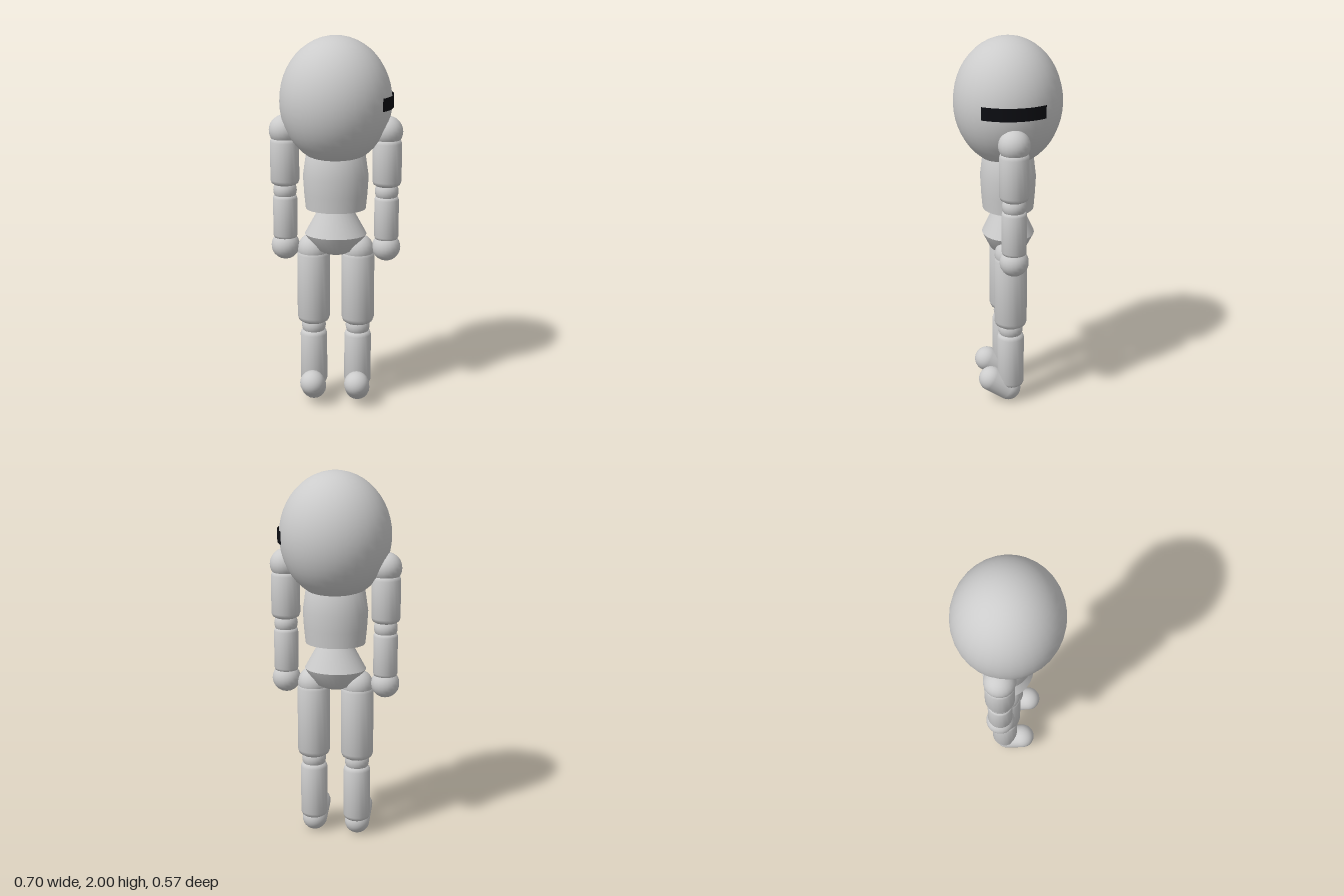
import * as THREE from 'three';
import { toCreasedNormals } from 'three/addons/utils/BufferGeometryUtils.js';

const grey = new THREE.MeshStandardMaterial({ color: 0xcccccc });
const black = new THREE.MeshStandardMaterial({ color: 0x0c0d12, side: THREE.DoubleSide });

function add(parent, name, geometry, x = 0, y = 0, z = 0, material = grey) {
  const mesh = new THREE.Mesh(geometry, material);
  mesh.name = name;
  mesh.position.set(x, y, z);
  parent.add(mesh);
  return mesh;
}

const ball = (r) => new THREE.SphereGeometry(r, 20, 14);

// Turned body from [radius, y] pairs, bottom to top, flattened in z
function turned(profile, depth = 1, segments = 32) {
  const points = profile.map(([r, y]) => new THREE.Vector2(r, y));
  const geometry = new THREE.LatheGeometry(points, segments);
  geometry.scale(1, 1, depth);
  return toCreasedNormals(geometry, 0.7);
}

// Limb segment: a cylinder with rounded-off rims
function limb(r, bottom, top, bevel = 0.025) {
  const b = bevel;
  return turned([
    [0, bottom], [r - b, bottom], [r - b * 0.3, bottom + b * 0.45], [r, bottom + b * 1.3],
    [r, top - b * 1.3], [r - b * 0.3, top - b * 0.45], [r - b, top], [0, top],
  ], 1, 20);
}

function createArm(side) {
  const arm = new THREE.Group();
  arm.name = side > 0 ? 'leftArm' : 'rightArm';
  arm.position.x = side * 0.27;
  add(arm, 'shoulder', ball(0.082), 0, 1.505);
  add(arm, 'upperArm', limb(0.077, 1.215, 1.47, 0.02));
  add(arm, 'elbow', ball(0.063), 0, 1.185);
  add(arm, 'forearm', limb(0.065, 0.92, 1.16, 0.015));
  add(arm, 'hand', ball(0.076), 0, 0.88);
  return arm;
}

function createLeg(side) {
  const leg = new THREE.Group();
  leg.name = side > 0 ? 'leftLeg' : 'rightLeg';
  leg.position.x = side * 0.12;
  add(leg, 'hip', ball(0.085), 0, 0.862);
  add(leg, 'thigh', limb(0.088, 0.45, 0.865));
  add(leg, 'knee', ball(0.066), 0, 0.43);
  add(leg, 'shin', limb(0.073, 0.09, 0.405, 0.02));

  // Foot: capsule rising from heel to toe
  const heel = new THREE.Vector3(0, 0.068, 0.013);
  const toe = new THREE.Vector3(0, 0.127, 0.106);
  const axis = toe.clone().sub(heel);
  const foot = add(leg, 'foot', new THREE.CapsuleGeometry(0.068, axis.length(), 8, 20));
  foot.position.copy(heel).add(toe).multiplyScalar(0.5);
  foot.quaternion.setFromUnitVectors(new THREE.Vector3(0, 1, 0), axis.normalize());
  return leg;
}

export function createModel() {
  const model = new THREE.Group();
  model.name = 'figure';

  // Head: tall ellipsoid
  const head = new THREE.SphereGeometry(1, 32, 24);
  head.scale(0.294, 0.335, 0.283);
  add(model, 'head', head, 0, 1.665);

  // Visor: thin curved band wrapped around one side of the head
  const half = 0.595;
  const visor = new THREE.CylinderGeometry(1, 1, 0.068, 24, 1, true, Math.PI / 2 - half, half * 2);
  visor.scale(0.302, 1, 0.291);
  add(model, 'visor', visor, 0, 1.668, 0, black);

  // Torso and pelvis
  add(model, 'torso', turned([
    [0, 1.09], [0.16, 1.09], [0.168, 1.17], [0.174, 1.265], [0.157, 1.385], [0.13, 1.43], [0, 1.44],
  ], 0.845));
  add(model, 'pelvis', turned([
    [0, 0.836], [0.06, 0.842], [0.115, 0.866], [0.165, 0.95], [0.087, 1.092], [0, 1.12],
  ], 0.84));

  for (const side of [-1, 1]) model.add(createArm(side), createLeg(side));
  return model;
}
